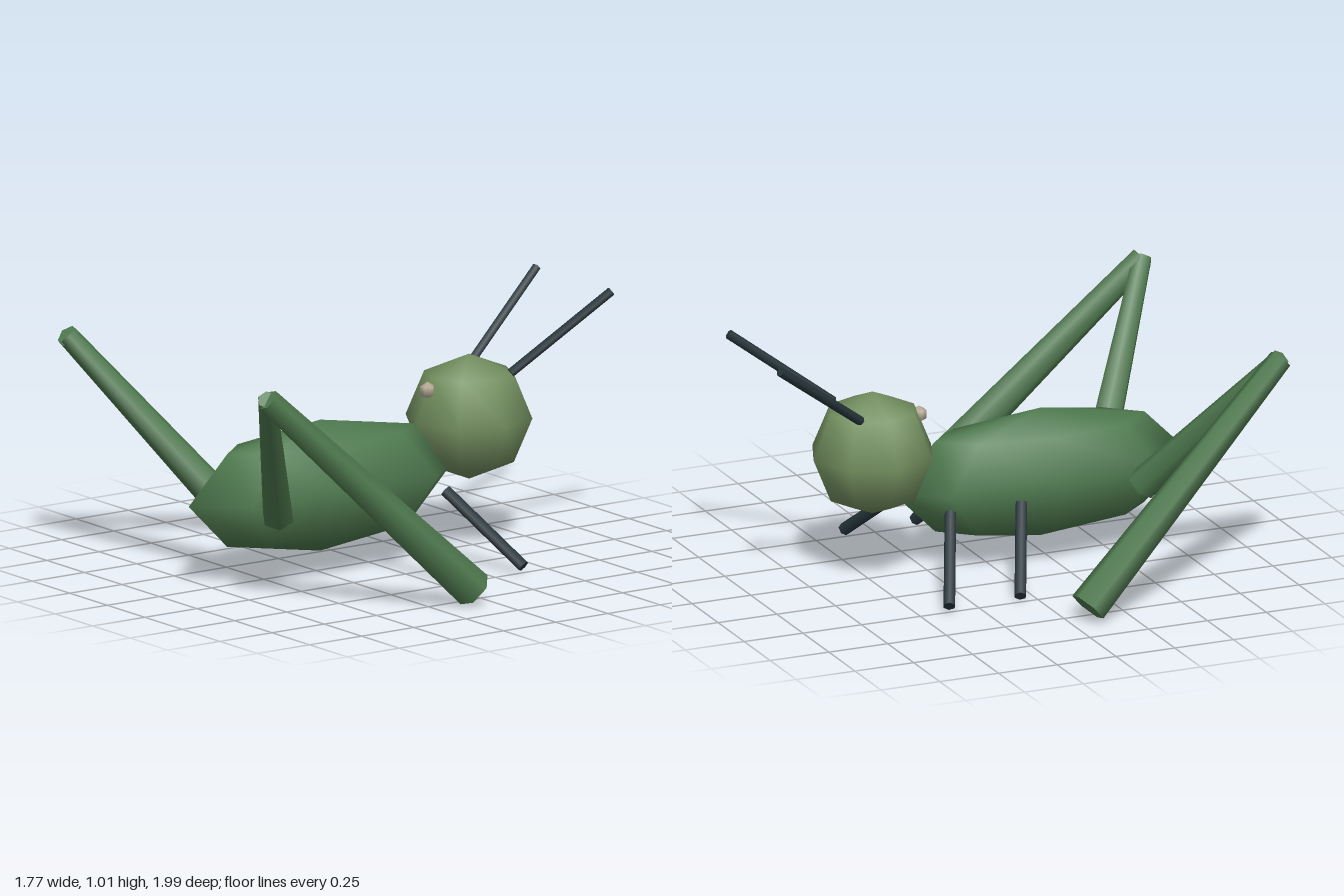
import * as THREE from 'three';

const paint = (color) => new THREE.MeshStandardMaterial({ color });

// Tapered six-sided rod from point a to point b
function rod(name, a, b, ra, rb, material) {
  const start = new THREE.Vector3(...a);
  const end = new THREE.Vector3(...b);
  const dir = end.clone().sub(start);
  const mesh = new THREE.Mesh(new THREE.CylinderGeometry(rb, ra, dir.length(), 6), material);
  mesh.position.copy(start).add(end).multiplyScalar(0.5);
  mesh.quaternion.setFromUnitVectors(new THREE.Vector3(0, 1, 0), dir.normalize());
  mesh.name = name;
  return mesh;
}

// Low-poly ellipsoid
function ball(name, center, radii, cols, rows, material) {
  const geometry = new THREE.SphereGeometry(1, cols, rows);
  geometry.scale(...radii);
  const mesh = new THREE.Mesh(geometry, material);
  mesh.position.set(...center);
  mesh.name = name;
  return mesh;
}

export function createModel() {
  const group = new THREE.Group();
  group.name = 'insect';
  const green = paint(0x4f7a4f);
  const lightGreen = paint(0x738f5f);
  const dark = paint(0x25343a);
  const beige = paint(0xb5aa95);

  // Body, head and the small bead on the head
  group.add(ball('body', [0, 0.34, 0.23], [0.225, 0.262, 0.63], 8, 4, green));
  group.add(ball('head', [0, 0.517, -0.483], [0.25, 0.25, 0.25], 8, 4, lightGreen));
  group.add(ball('headBead', [0, 0.648, -0.285], [0.034, 0.034, 0.034], 6, 3, beige));

  for (const [side, s] of [['left', 1], ['right', -1]]) {
    // Antenna
    group.add(rod(side + 'Antenna', [s * 0.13, 0.7, -0.59], [s * 0.25, 0.995, -0.985], 0.019, 0.019, dark));

    // Two thin walking legs
    [['HeadEndLeg', -0.235], ['MiddleLeg', 0.067]].forEach(([name, z]) => {
      group.add(rod(side + name, [s * 0.19, 0.29, z], [s * 0.507, 0.028, z - 0.145], 0.025, 0.025, dark));
    });

    // Large jumping leg: thigh and shin
    const leg = new THREE.Group();
    leg.name = side + 'JumpingLeg';
    const knee = [s * 0.665, 0.91, 0.96];
    leg.add(rod('thigh', [s * 0.2, 0.3, 0.575], knee, 0.065, 0.04, green));
    leg.add(rod('shin', knee, [s * 0.81, 0.056, 0.075], 0.047, 0.077, green));
    group.add(leg);
  }
  return group;
}
